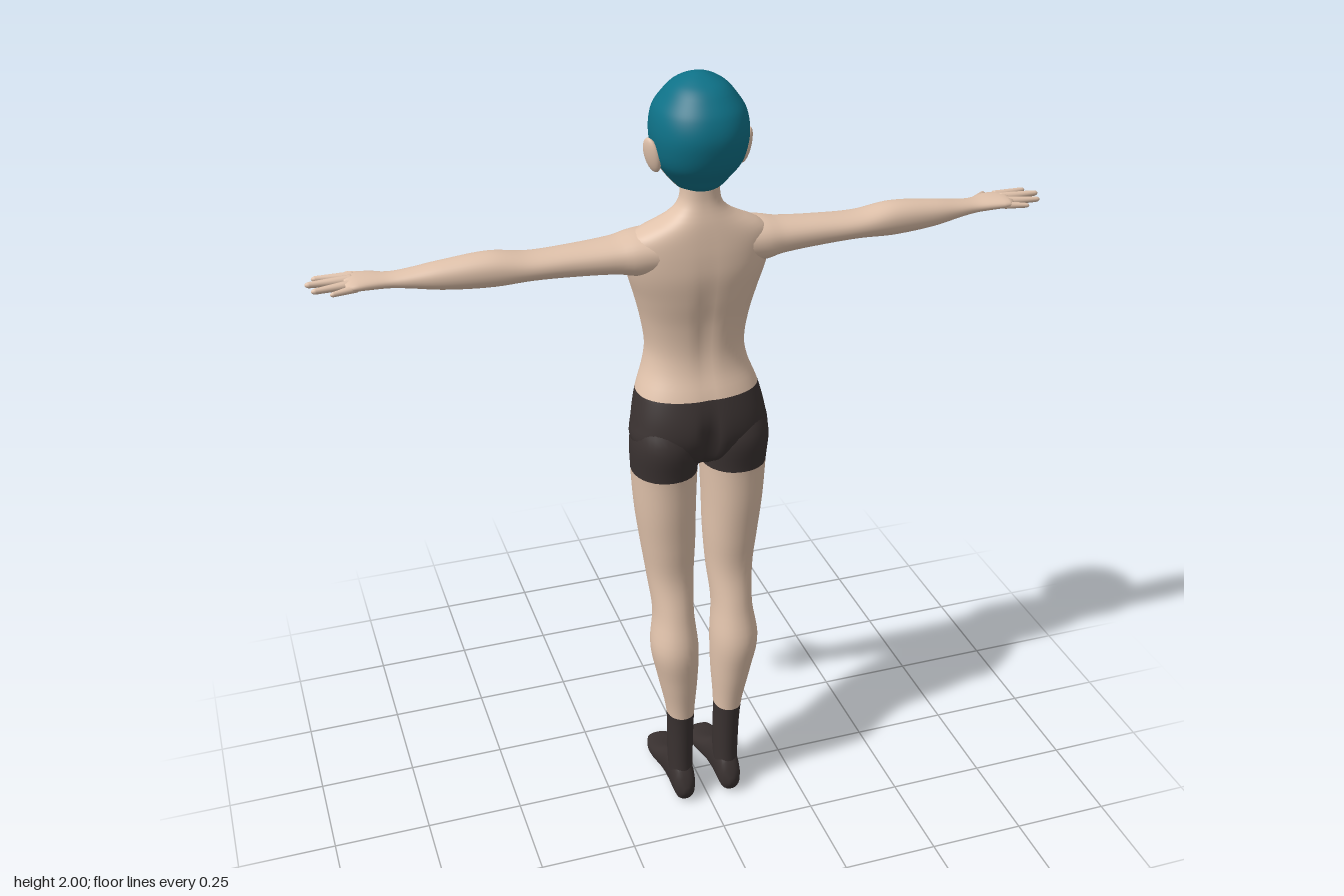
import * as THREE from 'three';

const paint = (name, color) => Object.assign(new THREE.MeshStandardMaterial({ color }), { name });
const skin = paint('skin', 0xe0c2ab);
const hair = paint('hair', 0x0e7187);
const cloth = paint('dark cloth', 0x3a3231);
const eyeWhite = paint('eye white', 0xf2eeea);
const iris = paint('iris', 0x4a5a60);
const lash = paint('lashes and brows', 0x33282a);
const lip = paint('lip', 0xb98072);

// Smooth lookup in a table of [station, uMin, uMax, vMin, vMax]
function sample(table, s) {
  const last = table.length - 1;
  let i = 0;
  while (i < last - 1 && s > table[i + 1][0]) i++;
  const a = table[i], b = table[i + 1], h = b[0] - a[0];
  const t = Math.min(1, Math.max(0, (s - a[0]) / h));
  const slope = (k, c) => {
    const p = table[Math.max(0, k - 1)], q = table[Math.min(last, k + 1)];
    return (q[c] - p[c]) / (q[0] - p[0]);
  };
  return [1, 2, 3, 4].map(c =>
    a[c] * (1 - t) ** 2 * (1 + 2 * t) + b[c] * t * t * (3 - 2 * t) +
    h * t * (1 - t) * ((1 - t) * slope(i, c) - t * slope(i + 1, c)));
}

const range = (a, b, n) => Array.from({ length: n + 1 }, (_, i) => a + (b - a) * i / n);
const gauss = (d, w) => Math.exp(-((d / w) ** 2));

// Axis mappings from (station, u, v) to x, y, z
const alongY = (s, u, v) => [u, s, v];
const alongX = (s, u, v) => [s, v, u];
const alongZ = (s, u, v) => [v, u, s];

// Skin over rounded cross-sections; pick(centroid) chooses the material slot of each face
function loft(table, stations, { map = alongY, segs = 32, power = 2.2, bend, pick = () => 0 } = {}) {
  const pos = [], faces = [[], [], []], n = stations.length;
  const put = (s, u, v) => {
    const p = new THREE.Vector3(...map(s, u, v));
    if (bend) bend(p);
    pos.push(p);
  };
  const curve = c => Math.sign(c) * Math.abs(c) ** (2 / power);
  for (const s of stations) {
    const [u0, u1, v0, v1] = sample(table, s);
    for (let j = 0; j < segs; j++) {
      const a = j / segs * Math.PI * 2;
      put(s, (u0 + u1) / 2 + (u1 - u0) / 2 * curve(Math.cos(a)), (v0 + v1) / 2 + (v1 - v0) / 2 * curve(Math.sin(a)));
    }
  }
  for (const s of [stations[0], stations[n - 1]]) {
    const [u0, u1, v0, v1] = sample(table, s);
    put(s, (u0 + u1) / 2, (v0 + v1) / 2);
  }
  const tri = (a, b, c) => {
    const mid = pos[a].clone().add(pos[b]).add(pos[c]).divideScalar(3);
    faces[pick(mid)].push(a, b, c);
  };
  for (let j = 0; j < segs; j++) {
    const k = (j + 1) % segs;
    for (let i = 0; i < n - 1; i++) {
      const r = i * segs, q = r + segs;
      tri(r + j, q + j, r + k);
      tri(r + k, q + j, q + k);
    }
    tri(n * segs, j, k);
    tri(n * segs + 1, (n - 1) * segs + k, (n - 1) * segs + j);
  }
  const g = new THREE.BufferGeometry().setFromPoints(pos);
  g.setIndex(faces.flat());
  let start = 0;
  faces.forEach((f, m) => { if (f.length) g.addGroup(start, f.length, m); start += f.length; });
  g.computeVertexNormals();
  return g;
}

// Reverse the winding, and mirror to the other side
function flip(g) {
  const a = g.index.array;
  for (let i = 0; i < a.length; i += 3) [a[i + 1], a[i + 2]] = [a[i + 2], a[i + 1]];
  g.computeVertexNormals();
  return g;
}
const mirror = g => flip(g.clone().scale(-1, 1, 1));

const headTable = [
  [1.705, -.018, .018, -.072, -.03], [1.72, -.036, .036, -.082, .03], [1.74, -.055, .055, -.087, .085],
  [1.77, -.08, .08, -.091, .112], [1.8, -.099, .099, -.093, .135], [1.84, -.109, .109, -.094, .15],
  [1.88, -.111, .111, -.096, .155], [1.92, -.103, .103, -.086, .145], [1.95, -.084, .084, -.063, .125],
  [1.975, -.062, .062, -.037, .1], [1.99, -.037, .037, -.01, .07], [1.999, -.012, .012, .018, .042]];
const torsoTable = [
  [1.02, .05, -.04, .07], [1.05, .13, -.06, .105], [1.1, .172, -.07, .13], [1.15, .168, -.082, .133],
  [1.22, .152, -.092, .115], [1.28, .13, -.095, .092], [1.33, .122, -.093, .084], [1.4, .132, -.095, .088],
  [1.47, .15, -.095, .1], [1.53, .168, -.085, .107], [1.58, .176, -.068, .105], [1.62, .17, -.05, .1],
  [1.645, .135, -.035, .096], [1.665, .092, -.02, .092], [1.69, .059, -.008, .085], [1.715, .047, -.004, .08],
  [1.78, .045, 0, .08]].map(([y, w, f, b]) => [y, -w, w, f, b]);
const legTable = [
  [.05, .035, .095, .035, .115], [.13, .032, .097, .022, .113], [.28, .03, .102, .03, .122],
  [.4, .022, .125, .015, .14], [.5, .02, .143, .005, .15], [.6, .027, .132, -.002, .126],
  [.7, .02, .14, -.028, .104], [.8, .014, .153, -.045, .108], [.9, .012, .165, -.058, .115],
  [1.01, .008, .172, -.065, .12], [1.1, .005, .174, -.06, .13], [1.17, .02, .155, -.04, .1]];
const footTable = [
  [-.155, .014, .026, .048, .078], [-.145, .007, .034, .032, .092], [-.1, .006, .047, .018, .106],
  [-.05, .01, .07, .018, .108], [0, .01, .1, .028, .1], [.05, .004, .13, .032, .097],
  [.1, 0, .115, .034, .095], [.122, .008, .08, .04, .09], [.132, .028, .052, .055, .075]];
const armTable = [
  [.1, -.06, .09, 1.535, 1.64], [.16, -.052, .086, 1.535, 1.635], [.2, -.042, .079, 1.544, 1.627],
  [.3, -.032, .07, 1.551, 1.62], [.4, -.027, .068, 1.555, 1.618], [.49, -.026, .064, 1.55, 1.63],
  [.6, -.024, .052, 1.556, 1.62], [.68, -.024, .038, 1.568, 1.607], [.72, -.028, .032, 1.572, 1.603],
  [.76, -.044, .036, 1.574, 1.605], [.8, -.043, .041, 1.578, 1.604], [.815, -.036, .034, 1.583, 1.6]];

const noseBump = (x, y) => .021 * gauss(x, .012) * gauss(y - 1.775, .016) + .007 * gauss(x, .01) * gauss(y - 1.797, .022);

// Depth of the face surface at x, y
function faceZ(x, y) {
  const [, w, f, b] = sample(headTable, y);
  return (f + b) / 2 - (b - f) / 2 * (1 - Math.abs(x / w) ** 2.2) ** (1 / 2.2) - noseBump(x, y);
}

// Thin oval laid on the face, arched by arch and raised by lift
function facePatch(cx, cy, rx, ry, arch, lift) {
  const g = new THREE.CircleGeometry(1, 28), p = g.attributes.position;
  for (let i = 0; i < p.count; i++) {
    const u = p.getX(i), x = cx + u * rx, y = cy + p.getY(i) * ry - arch * u * u;
    p.setXYZ(i, x, y, faceZ(x, y) - lift);
  }
  return flip(g);
}

// Tapered finger between two points
function finger(from, to, r) {
  const a = new THREE.Vector3(...from), b = new THREE.Vector3(...to), d = b.clone().sub(a), len = d.length();
  const g = new THREE.CapsuleGeometry(r, len - 2 * r, 6, 12), p = g.attributes.position;
  for (let i = 0; i < p.count; i++) {
    const k = .85 - .5 * p.getY(i) / len;
    p.setX(i, p.getX(i) * k);
    p.setZ(i, p.getZ(i) * k);
  }
  g.applyQuaternion(new THREE.Quaternion().setFromUnitVectors(new THREE.Vector3(0, 1, 0), d.normalize()));
  g.translate(...a.add(b).multiplyScalar(.5).toArray());
  g.computeVertexNormals();
  return g;
}

export function createModel() {
  const model = new THREE.Group();
  const add = (name, geo, mat) => {
    const m = new THREE.Mesh(geo, mat);
    m.name = name;
    model.add(m);
  };
  const addPair = (name, geo, mat) => {
    add('left ' + name, geo, mat);
    add('right ' + name, mirror(geo), mat);
  };

  // Head with close cap of hair: hairline drops from forehead to above the ear, then to the nape
  const hairline = z => z > .03 ? 1.6 : z > -.02 ? 1.845 : 1.847 + (-.02 - z) * .75;
  add('head', loft(headTable, [...range(1.705, 1.96, 48), ...range(1.963, 1.999, 12)], {
    segs: 80,
    bend: p => { if (p.z < -.04) p.z -= noseBump(p.x, p.y); },
    pick: c => c.y > hairline(c.z) ? 1 : 0,
  }), [skin, hair]);

  // Torso and neck, with spine groove, chest, and shorts below the waist
  add('torso and shorts', loft(torsoTable, [...range(1.02, 1.22, 24), ...range(1.235, 1.78, 44)], {
    segs: 64, power: 2.3,
    bend: p => {
      const { x, y } = p;
      if (p.z > .03) p.z -= .03 * gauss(x, .016) * gauss(y - 1.09, .075) + .007 * gauss(x, .02) * gauss(y - 1.4, .14);
      else if (p.z < 0) p.z -= .014 * gauss(x, .035) * gauss(y - 1.1, .035) + .005 * gauss(Math.abs(x) - .07, .04) * gauss(y - 1.49, .035);
    },
    pick: c => c.y < 1.22 ? 1 : 0,
  }), [skin, cloth]);

  // Legs: sock, bare leg and shorts leg
  addPair('leg', loft(legTable, [...range(.05, .28, 10), ...range(.3, 1.01, 34), ...range(1.03, 1.17, 7)], {
    power: 2.1, pick: c => c.y < .28 || c.y > 1.01 ? 1 : 0,
  }), [skin, cloth]);
  addPair('foot', loft(footTable, range(-.155, .132, 30), { map: alongZ, power: 2.3 }), cloth);

  // Arms, palms and fingers
  addPair('arm', loft(armTable, range(.1, .815, 50), { map: alongX }), skin);
  [[[.785, 1.592, -.032], [.882, 1.592, -.043], .0105],
   [[.79, 1.594, -.01], [.9, 1.594, -.008], .011],
   [[.79, 1.592, .011], [.89, 1.59, .023], .0105],
   [[.785, 1.589, .028], [.852, 1.585, .042], .009],
   [[.735, 1.585, -.022], [.803, 1.568, -.106], .0125]]
    .forEach(([a, b, r], i) => addPair(i < 4 ? 'finger ' + (i + 1) : 'thumb', finger(a, b, r), skin));

  // Ears
  const ear = new THREE.SphereGeometry(1, 20, 14).scale(.012, .042, .024);
  ear.rotateY(-.45).rotateZ(-.22).translate(.112, 1.82, .035);
  addPair('ear', ear, skin);

  // Face details
  addPair('eye white', facePatch(.045, 1.822, .021, .011, .001, .002), eyeWhite);
  addPair('iris', facePatch(.043, 1.822, .009, .0105, 0, .0035), iris);
  addPair('pupil', facePatch(.043, 1.822, .004, .006, 0, .0045), lash);
  addPair('upper lash', facePatch(.046, 1.835, .024, .0035, .007, .005), lash);
  addPair('brow', facePatch(.046, 1.856, .024, .0026, .005, .003), lash);
  add('mouth', facePatch(0, 1.741, .015, .0016, -.001, .003), lip);

  return model;
}
